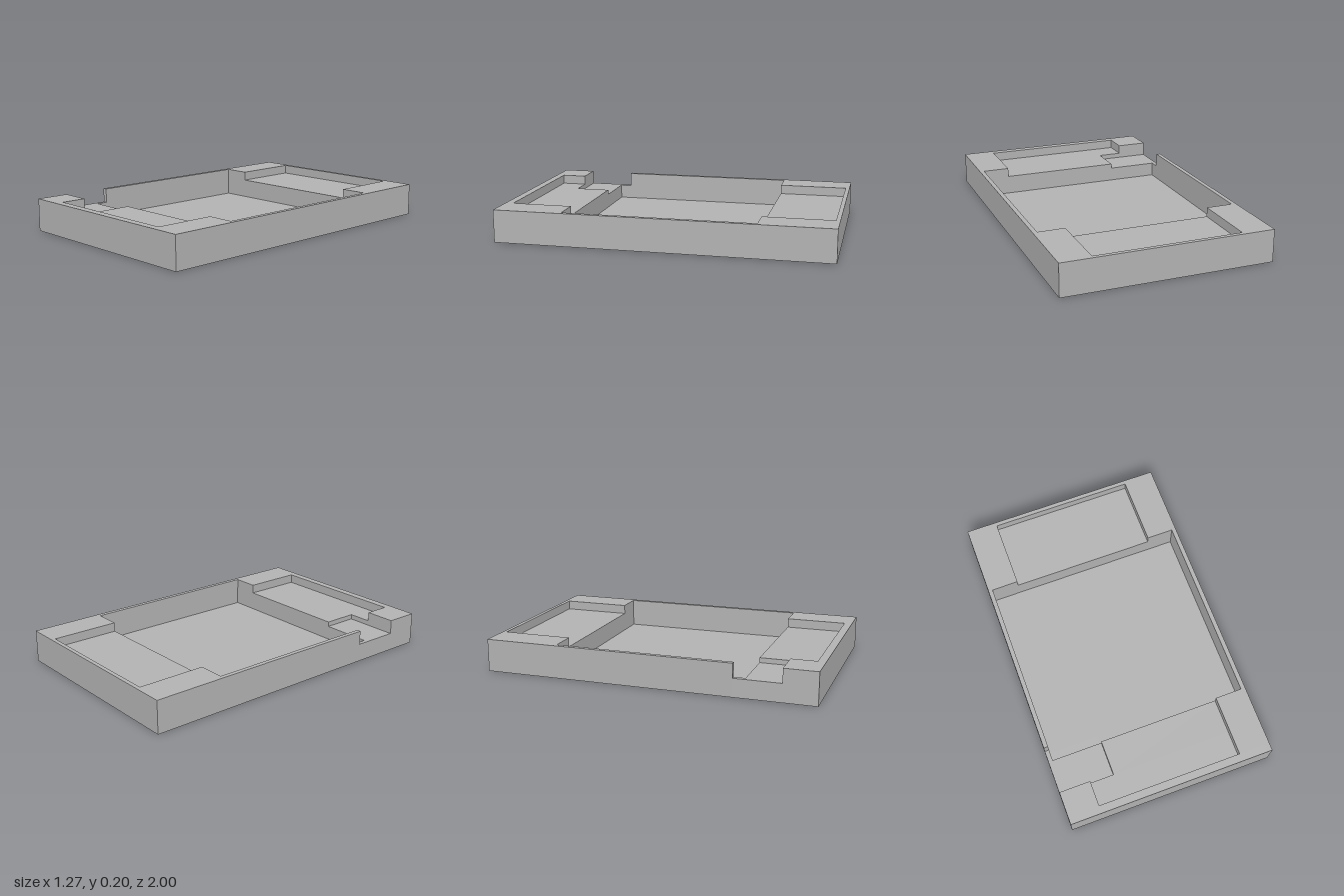
import * as THREE from 'three';

const TOP = 0.197, W = 0.633, D = 1;

// Recesses cut down from the top: x range, z range, floor height. Deeper cuts win.
const recesses = [
  { name: 'mainPocket', x: [-0.606, 0.606], z: [-0.556, 0.587], y: 0.025 },
  { name: 'sideNotch', x: [-W, -0.296], z: [0.519, 0.8], y: 0.111 },
  { name: 'backShelf', x: [-0.442, 0.442], z: [-0.975, -0.556], y: 0.141 },
  { name: 'frontShelf', x: [-0.442, 0.442], z: [0.587, 0.953], y: 0.141 },
];
const rim = { name: 'outerRim', y: TOP };
const outside = { name: 'outside', y: 0 };

const sortedUnique = (list) => [...new Set(list)].sort((a, b) => a - b);

export function createModel() {
  const group = new THREE.Group();
  group.name = 'recessedTray';
  const gray = new THREE.MeshStandardMaterial({ color: 0xb2b2b2 });
  gray.name = 'plain gray';

  // Grid lines run along every recess edge
  const xs = sortedUnique([-W, W, ...recesses.flatMap((r) => r.x)]);
  const zs = sortedUnique([-D, D, ...recesses.flatMap((r) => r.z)]);
  const partAt = (i, j) => {
    if (i < 0 || j < 0 || i >= xs.length - 1 || j >= zs.length - 1) return outside;
    const x = (xs[i] + xs[i + 1]) / 2, z = (zs[j] + zs[j + 1]) / 2;
    return recesses.find((r) => x > r.x[0] && x < r.x[1] && z > r.z[0] && z < r.z[1]) || rim;
  };

  const faces = {};
  // Four corners, counter-clockwise seen from the front
  const quad = (name, a, b, c, d) => (faces[name] ??= []).push(...a, ...b, ...c, ...a, ...c, ...d);

  for (let i = 0; i < xs.length - 1; i++) {
    for (let j = 0; j < zs.length - 1; j++) {
      const { name, y } = partAt(i, j);
      const [x0, x1, z0, z1] = [xs[i], xs[i + 1], zs[j], zs[j + 1]];
      // Level surface
      quad(name, [x0, y, z1], [x1, y, z1], [x1, y, z0], [x0, y, z0]);
      // Underside
      quad('underside', [x0, 0, z0], [x1, 0, z0], [x1, 0, z1], [x0, 0, z1]);
      // Upright walls down to each lower neighbour
      const sides = [
        [1, 0, x1, z1, x1, z0],
        [-1, 0, x0, z0, x0, z1],
        [0, 1, x0, z1, x1, z1],
        [0, -1, x1, z0, x0, z0],
      ];
      for (const [di, dj, ax, az, bx, bz] of sides) {
        const low = partAt(i + di, j + dj).y;
        if (low < y) quad(name, [ax, low, az], [bx, low, bz], [bx, y, bz], [ax, y, az]);
      }
    }
  }

  for (const [name, points] of Object.entries(faces)) {
    const geometry = new THREE.BufferGeometry();
    geometry.setAttribute('position', new THREE.Float32BufferAttribute(points, 3));
    geometry.computeVertexNormals();
    const mesh = new THREE.Mesh(geometry, gray);
    mesh.name = name;
    group.add(mesh);
  }
  return group;
}
